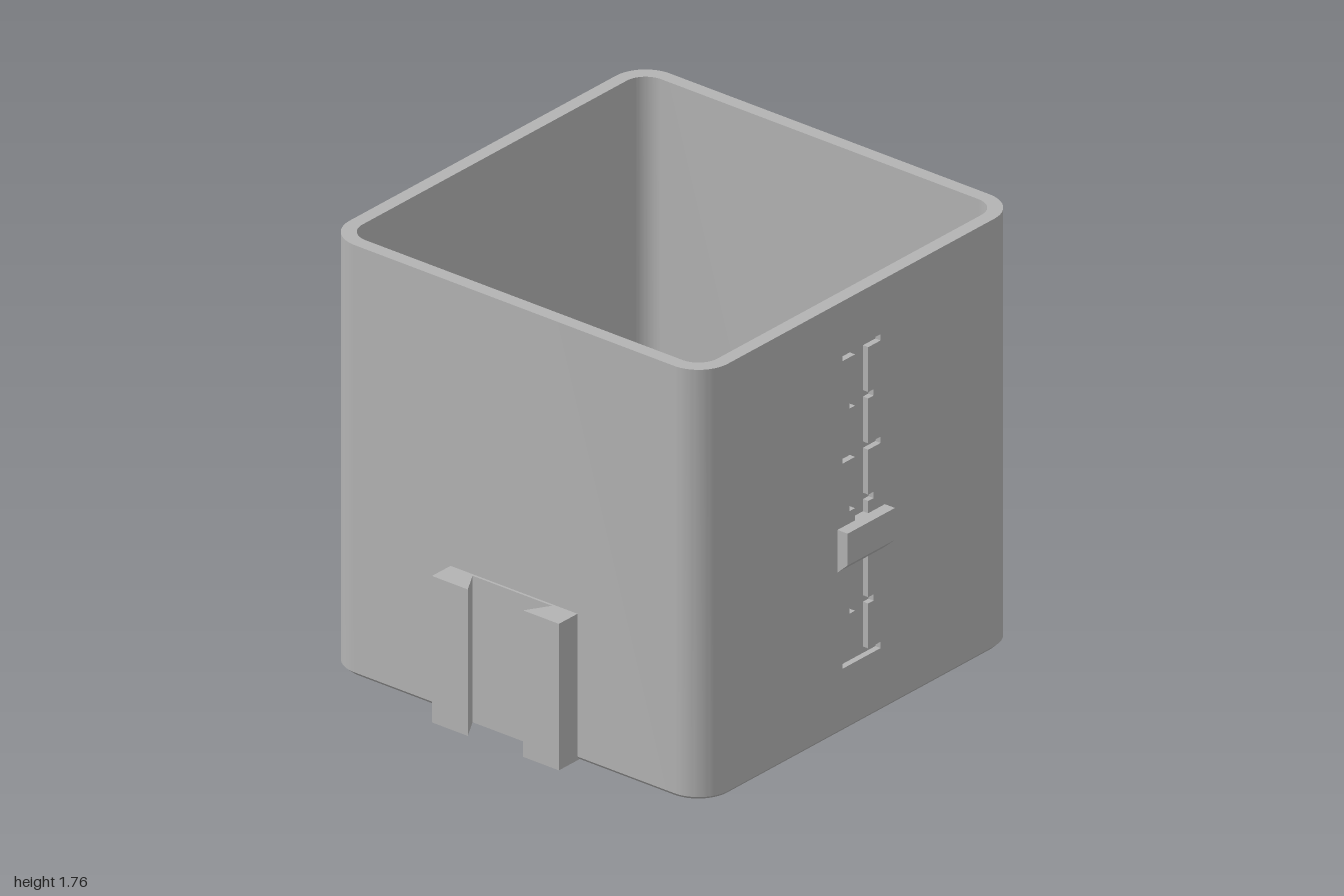
import * as THREE from 'three';
import { toCreasedNormals } from 'three/addons/utils/BufferGeometryUtils.js';

const H = 1.765;          // total height
const CX = 0.005, CZ = -0.027; // centre of the box
const HALF = 0.899;       // half of the outer width
const WALL = 0.056;
const CHAMFER = 0.015;
const FRONT = CZ + HALF;
const DEPTH = 0.025;      // depth of the engraved scale

// Rounded square outline, optionally with a shallow notch in the front side
function outline(Type, half, r, notch) {
  const s = new Type(), x0 = CX - half, x1 = CX + half;
  const y0 = -CZ - half, y1 = -CZ + half; // shape y is -z
  s.moveTo(x0 + r, y0);
  if (notch) {
    s.lineTo(-notch, y0);
    s.lineTo(-notch, y0 + DEPTH);
    s.lineTo(notch, y0 + DEPTH);
    s.lineTo(notch, y0);
  }
  s.lineTo(x1 - r, y0);
  s.absarc(x1 - r, y0 + r, r, -Math.PI / 2, 0);
  s.lineTo(x1, y1 - r);
  s.absarc(x1 - r, y1 - r, r, 0, Math.PI / 2);
  s.lineTo(x0 + r, y1);
  s.absarc(x0 + r, y1 - r, r, Math.PI / 2, Math.PI);
  s.lineTo(x0, y0 + r);
  s.absarc(x0 + r, y0 + r, r, Math.PI, Math.PI * 1.5);
  return s;
}

// Extrude a plan shape upward from y0 to y1
function extrudeUp(shape, y0, y1) {
  const g = new THREE.ExtrudeGeometry(shape, { depth: y1 - y0, bevelEnabled: false, curveSegments: 12 });
  g.rotateX(-Math.PI / 2);
  g.translate(0, y0, 0);
  return g;
}

// Polygon from [x, z] plan points
const plan = (pts) => new THREE.Shape(pts.map(([x, z]) => new THREE.Vector2(x, -z)));

export function createModel() {
  const group = new THREE.Group();
  const grey = new THREE.MeshStandardMaterial({ color: 0xb3b3b3 });
  grey.name = 'grey plastic';
  const add = (name, geometry) => {
    const mesh = new THREE.Mesh(toCreasedNormals(geometry, 0.5), grey);
    mesh.name = name;
    group.add(mesh);
  };

  // Walls, with a notch that receives the scale plate
  const ring = outline(THREE.Shape, HALF, 0.14, 0.2);
  ring.holes.push(outline(THREE.Path, HALF - WALL, 0.09));
  add('walls', extrudeUp(ring, CHAMFER, H));

  // Base slab, narrowed at the bottom for the chamfered edge
  const base = extrudeUp(outline(THREE.Shape, HALF, 0.14), 0, CHAMFER);
  const p = base.attributes.position;
  for (let i = 0; i < p.count; i++) {
    if (p.getY(i) > 0.001) continue;
    p.setX(i, CX + (p.getX(i) - CX) * 0.985);
    p.setZ(i, CZ + (p.getZ(i) - CZ) * 0.985);
  }
  base.computeVertexNormals();
  add('base', base);
  add('floor', extrudeUp(outline(THREE.Shape, HALF - WALL, 0.09), CHAMFER, WALL));

  // Engraved scale: a plate with a spine and tick marks cut out
  const mid = 0.0075, spine = 0.0375, thick = 0.026;
  const right = [], left = [];
  for (let i = 0; i < 7; i++) {
    const w = i % 2 ? 0.068 : 0.108;
    const y = 0.26 + i * 0.21;
    const yTop = y + thick;
    const steps = [[spine, y], [w, y], [w, yTop], [spine, yTop]];
    if (i === 0) steps.shift();
    if (i === 6) steps.pop();
    for (const [dx, ty] of steps) {
      right.push(new THREE.Vector2(mid + dx, ty));
      left.unshift(new THREE.Vector2(mid - dx, ty));
    }
  }
  const plate = new THREE.Shape([[-0.2, CHAMFER], [0.2, CHAMFER], [0.2, H], [-0.2, H]]
    .map(([x, y]) => new THREE.Vector2(x, y)));
  plate.holes.push(new THREE.Path([...right, ...left]));
  const plateGeo = new THREE.ExtrudeGeometry(plate, { depth: DEPTH, bevelEnabled: false });
  plateGeo.translate(0, 0, FRONT - DEPTH);
  add('engravedScale', plateGeo);

  // Pointer block with a sloped underside, profile in (z, y) swept along x
  const profile = new THREE.Shape([[FRONT - DEPTH, 0.665], [FRONT, 0.665], [0.92, 0.71], [0.92, 0.84], [FRONT - DEPTH, 0.84]]
    .map(([z, y]) => new THREE.Vector2(-z, y)));
  const pointer = new THREE.ExtrudeGeometry(profile, { depth: 0.27, bevelEnabled: false });
  pointer.rotateY(Math.PI / 2);
  pointer.translate(-0.13, 0, 0);
  add('pointer', pointer);

  // Dovetail tab on the left side
  add('dovetailTab', extrudeUp(plan([[0.895, -0.14], [0.895, 0.09], [1, 0.155], [1, -0.207]]), 0, 0.6));

  // Dovetail socket on the right side: two rails joined by a thin back
  add('dovetailSocket', extrudeUp(plan([
    [-0.885, -0.33], [-1, -0.33], [-1, -0.16], [-0.904, -0.217],
    [-0.904, 0.16], [-1, 0.103], [-1, 0.273], [-0.885, 0.273],
  ]), 0, 0.6));

  return group;
}
